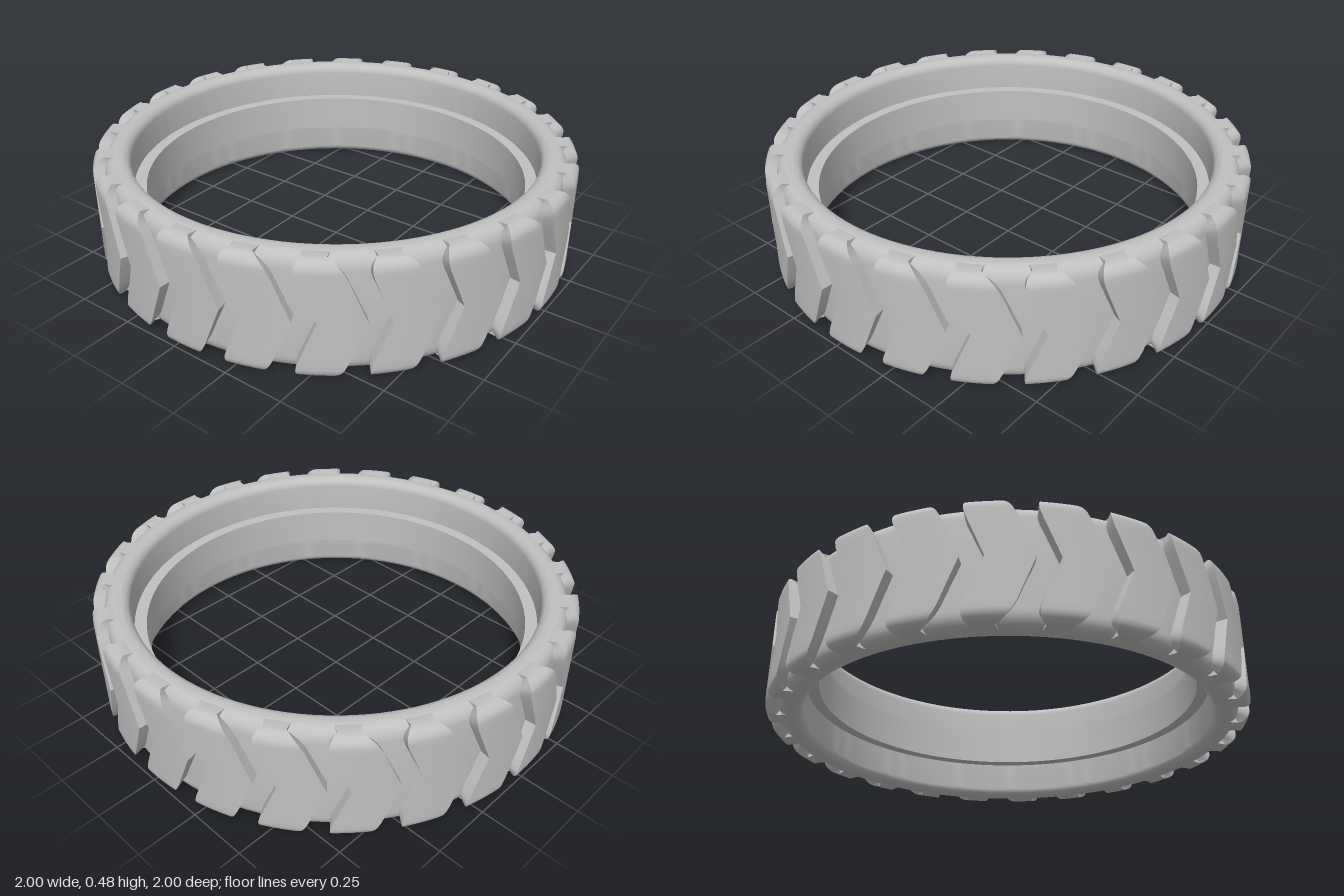
import * as THREE from 'three';
import { toCreasedNormals } from 'three/addons/utils/BufferGeometryUtils.js';

const H = 0.48, MID = H / 2, BLOCKS = 24;
const rubber = new THREE.MeshStandardMaterial({ color: 0xc0c0c0 });
rubber.name = 'light grey rubber';

// quarter ellipse points about (cx, cy), from angle a to b in degrees
function arc(cx, cy, rx, ry, a, b, n = 7) {
  return Array.from({ length: n + 1 }, (_, i) => {
    const t = THREE.MathUtils.degToRad(a + (b - a) * i / n);
    return new THREE.Vector2(cx + rx * Math.cos(t), cy + ry * Math.sin(t));
  });
}

function lathe(points, name) {
  const geo = toCreasedNormals(new THREE.LatheGeometry([...points, points[0].clone()], 120), 0.6);
  const mesh = new THREE.Mesh(geo, rubber);
  mesh.name = name;
  return mesh;
}

// Tread block: a chevron strip that wraps over both shoulders
function treadBlockGeometry() {
  const upper = [
    new THREE.Vector2(1, MID),
    new THREE.Vector2(1, 0.34),
    new THREE.Vector2(1, 0.41),
    ...arc(0.955, H - 0.045, 0.045, 0.045, 0, 90),
    new THREE.Vector2(0.925, H - 0.001),
    new THREE.Vector2(0.895, H - 0.006),
  ];
  const lower = upper.slice(1).reverse().map(p => new THREE.Vector2(p.x, H - p.y));
  const path = [...lower, ...upper];

  const COLS = 6;
  const rows = path.map(p => {
    const dy = Math.abs(p.y - MID);
    const shift = 0.4 * dy;                                // chevron sweep
    const d = Math.min(1, Math.max(0, dy - 0.17) / 0.07);
    const inset = 0.045 * (1 - Math.sqrt(1 - d * d));      // rounded corners
    const left = 0.042 - shift + inset, right = 0.218 - shift - inset;
    const at = (a, r, y) => [r * Math.sin(a), y, r * Math.cos(a)];
    const top = [];
    for (let j = 0; j <= COLS; j++) top.push(at(left + (right - left) * j / COLS, p.x, p.y));
    // foot of the side walls, buried in the carcass
    const fr = Math.min(p.x, 0.95) - 0.02, fy = MID + (p.y - MID) * 0.84;
    return { top, footL: at(left, fr, fy), footR: at(right, fr, fy) };
  });

  const pos = [];
  const quad = (a, b, c, d) => pos.push(...a, ...b, ...c, ...a, ...c, ...d);
  for (let i = 0; i < rows.length - 1; i++) {
    const a = rows[i], b = rows[i + 1];
    for (let j = 0; j < COLS; j++) quad(a.top[j], a.top[j + 1], b.top[j + 1], b.top[j]);
    quad(a.footL, a.top[0], b.top[0], b.footL);
    quad(a.top[COLS], a.footR, b.footR, b.top[COLS]);
  }
  const geo = new THREE.BufferGeometry();
  geo.setAttribute('position', new THREE.Float32BufferAttribute(pos, 3));
  return toCreasedNormals(geo, 0.6);
}

export function createModel() {
  const model = new THREE.Group();
  model.name = 'tyre';

  // Carcass with soft shoulders and rounded inner lips
  model.add(lathe([
    ...arc(0.905, 0.06, 0.05, 0.06, -90, 0),
    ...arc(0.905, H - 0.06, 0.05, 0.06, 0, 90),
    ...arc(0.89, H - 0.04, 0.04, 0.04, 90, 180),
    ...arc(0.89, 0.04, 0.04, 0.04, 180, 270),
  ], 'carcass'));

  // Raised band around the inside
  model.add(lathe([
    new THREE.Vector2(0.87, 0.16), new THREE.Vector2(0.87, 0.32),
    new THREE.Vector2(0.80, 0.32), new THREE.Vector2(0.80, 0.16),
  ], 'innerBand'));

  // Chevron tread
  const tread = new THREE.Group();
  tread.name = 'tread';
  const blockGeo = treadBlockGeometry();
  for (let i = 0; i < BLOCKS; i++) {
    const block = new THREE.Mesh(blockGeo, rubber);
    block.name = 'treadBlock';
    block.rotation.y = i * Math.PI * 2 / BLOCKS;
    tread.add(block);
  }
  model.add(tread);
  return model;
}
